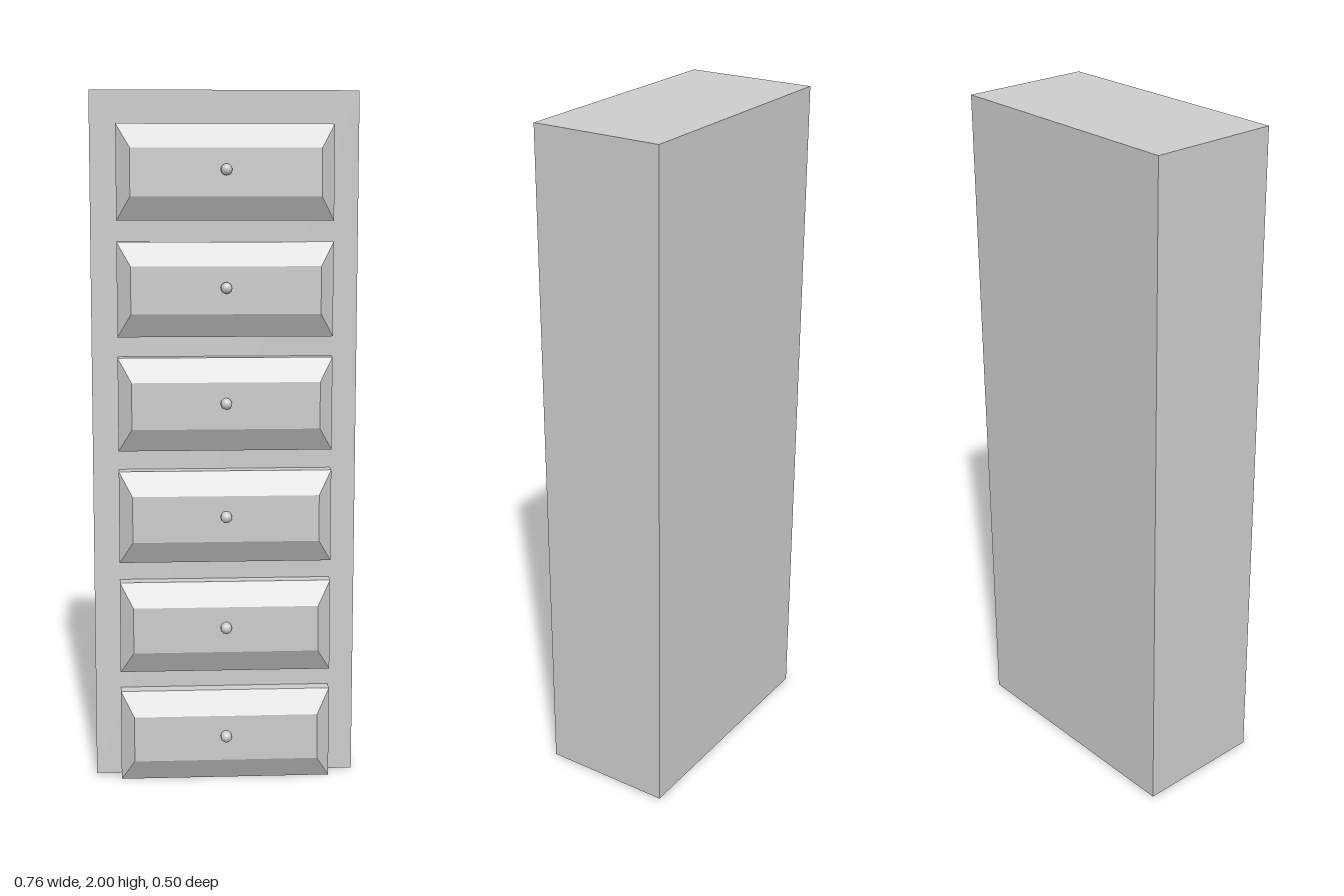
import * as THREE from 'three';

const material = new THREE.MeshStandardMaterial({ color: 0xcccccc });

// Drawer front: a box whose foremost ring of corners is pulled in to form a raised panel
function drawerGeometry(width, height, zBack, zBevel, zFront, insetX, insetY) {
  const box = new THREE.BoxGeometry(width, height, 2, 1, 1, 2);
  const p = box.attributes.position;
  for (let i = 0; i < p.count; i++) {
    const layer = Math.round(p.getZ(i)); // -1 back, 0 bevel edge, 1 front panel
    if (layer === 1) {
      p.setX(i, p.getX(i) - Math.sign(p.getX(i)) * insetX);
      p.setY(i, p.getY(i) - Math.sign(p.getY(i)) * insetY);
    }
    p.setZ(i, [zBack, zBevel, zFront][layer + 1]);
  }
  const flat = box.toNonIndexed();
  flat.computeVertexNormals();
  return flat;
}

// Round-ended knob, lathed and turned to point forward
function knobGeometry(radius, stem) {
  const profile = [new THREE.Vector2(radius, 0)];
  const steps = 8;
  for (let i = 0; i <= steps; i++) {
    const a = (i / steps) * Math.PI / 2;
    profile.push(new THREE.Vector2(radius * Math.cos(a), stem + radius * Math.sin(a)));
  }
  return new THREE.LatheGeometry(profile, 24).rotateX(Math.PI / 2);
}

export function createModel() {
  const model = new THREE.Group();
  model.name = 'chestOfDrawers';

  // Cabinet body
  const bottom = 0.004, top = 2;
  const cabinet = new THREE.Mesh(new THREE.BoxGeometry(0.762, top - bottom, 0.39), material);
  cabinet.name = 'cabinet';
  cabinet.position.set(0, (top + bottom) / 2, -0.054);
  model.add(cabinet);

  // Six stacked drawers, each with a central knob
  const front = drawerGeometry(0.614, 0.268, 0.07, 0.183, 0.222, 0.039, 0.067);
  const knobShape = knobGeometry(0.016, 0.022);
  for (let i = 0; i < 6; i++) {
    const drawer = new THREE.Group();
    drawer.name = `drawer${i + 1}`;
    drawer.position.y = 0.134 + i * 0.3275;

    const panel = new THREE.Mesh(front, material);
    panel.name = 'drawerFront';
    const knob = new THREE.Mesh(knobShape, material);
    knob.name = 'knob';
    knob.position.set(0, 0.007, 0.211);

    drawer.add(panel, knob);
    model.add(drawer);
  }
  return model;
}
